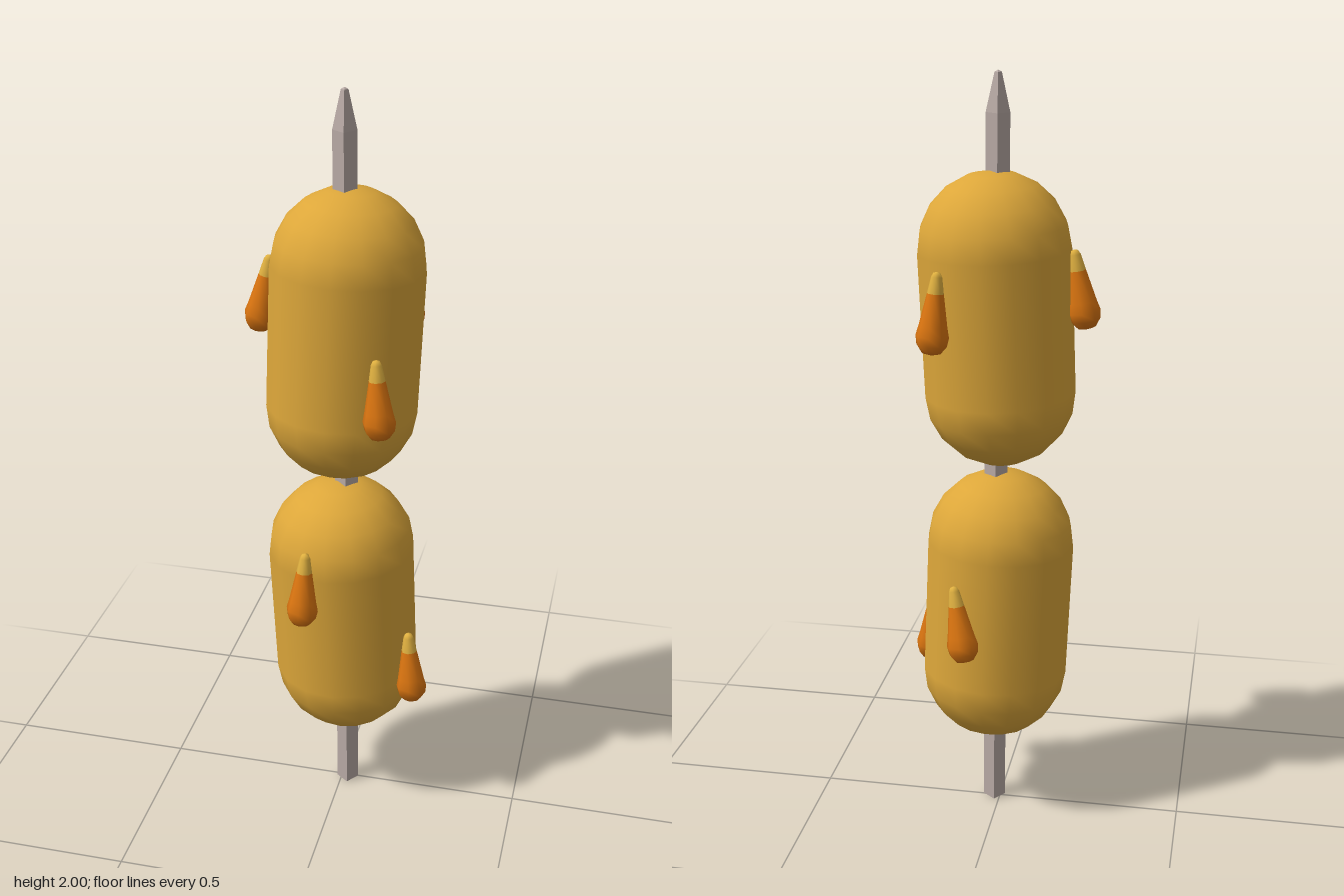
import * as THREE from 'three';

const v = (x, y, z) => new THREE.Vector3(x, y, z);
const paint = (name, color) => {
  const m = new THREE.MeshStandardMaterial({ color });
  m.name = name;
  return m;
};

export function createModel() {
  const model = new THREE.Group();
  model.name = 'skewer';
  const batter = paint('golden batter', 0xdda73a);
  const sauce = paint('orange sauce', 0xdb7510);
  const sauceTip = paint('pale sauce tip', 0xdfb040);
  const wood = paint('grey stick', 0xb8aaa5);
  wood.flatShading = true;

  // Places an upright part so its axis runs from the low point to the high point
  const along = (part, name, low, high) => {
    part.name = name;
    part.position.copy(low).lerp(high, 0.5);
    part.quaternion.setFromUnitVectors(v(0, 1, 0), high.clone().sub(low).normalize());
    model.add(part);
  };
  const lathe = (profile, sides, material) => new THREE.Mesh(
    new THREE.LatheGeometry(profile.map(([r, y]) => new THREE.Vector2(r, y)), sides),
    material);

  // Square stick with a tapered point
  const stick = lathe([[0, -1], [0.03, -1], [0.03, 0.9], [0.009, 0.995], [0, 1]], 4, wood);
  stick.geometry.rotateY(0.14);
  along(stick, 'stick', v(0.017, 0, 0.005), v(0.002, 2, -0.011));

  // Two rounded pieces, each leaning slightly
  const pieces = [
    ['lowerPiece', v(0.021, 0.22, -0.008), v(-0.009, 0.975, 0.008)],
    ['upperPiece', v(-0.008, 1.002, 0.004), v(0.018, 1.762, -0.018)],
  ];
  for (const [name, low, high] of pieces) {
    const r = 0.196;
    const body = new THREE.CapsuleGeometry(r, low.distanceTo(high) - 2 * r, 5, 16);
    along(new THREE.Mesh(body, batter), name, low, high);
  }

  // Sauce drips: base x, z, tip x, z and lowest y
  const drips = [
    [-0.225, -0.016, -0.190, -0.021, 1.37],
    [0.135, 0.174, 0.119, 0.157, 1.19],
    [0.135, -0.203, 0.120, -0.186, 1.335],
    [0.053, -0.215, 0.090, -0.182, 0.515],
    [-0.062, 0.210, -0.055, 0.185, 0.645],
    [0.217, 0.094, 0.200, 0.080, 0.37],
  ];
  drips.forEach(([bx, bz, tx, tz, y], i) => {
    const drip = new THREE.Group();
    const bulb = lathe([[0, -0.102], [0.024, -0.096], [0.038, -0.077], [0.042, -0.055],
      [0.036, -0.03], [0.021, 0.05]], 8, sauce);
    bulb.name = 'dripBulb';
    const tip = lathe([[0.021, 0.05], [0.014, 0.09], [0.009, 0.1], [0, 0.103]], 8, sauceTip);
    tip.name = 'dripTip';
    drip.add(bulb, tip);
    along(drip, `drip${i + 1}`, v(bx, y, bz), v(tx, y + 0.205, tz));
  });

  return model;
}
